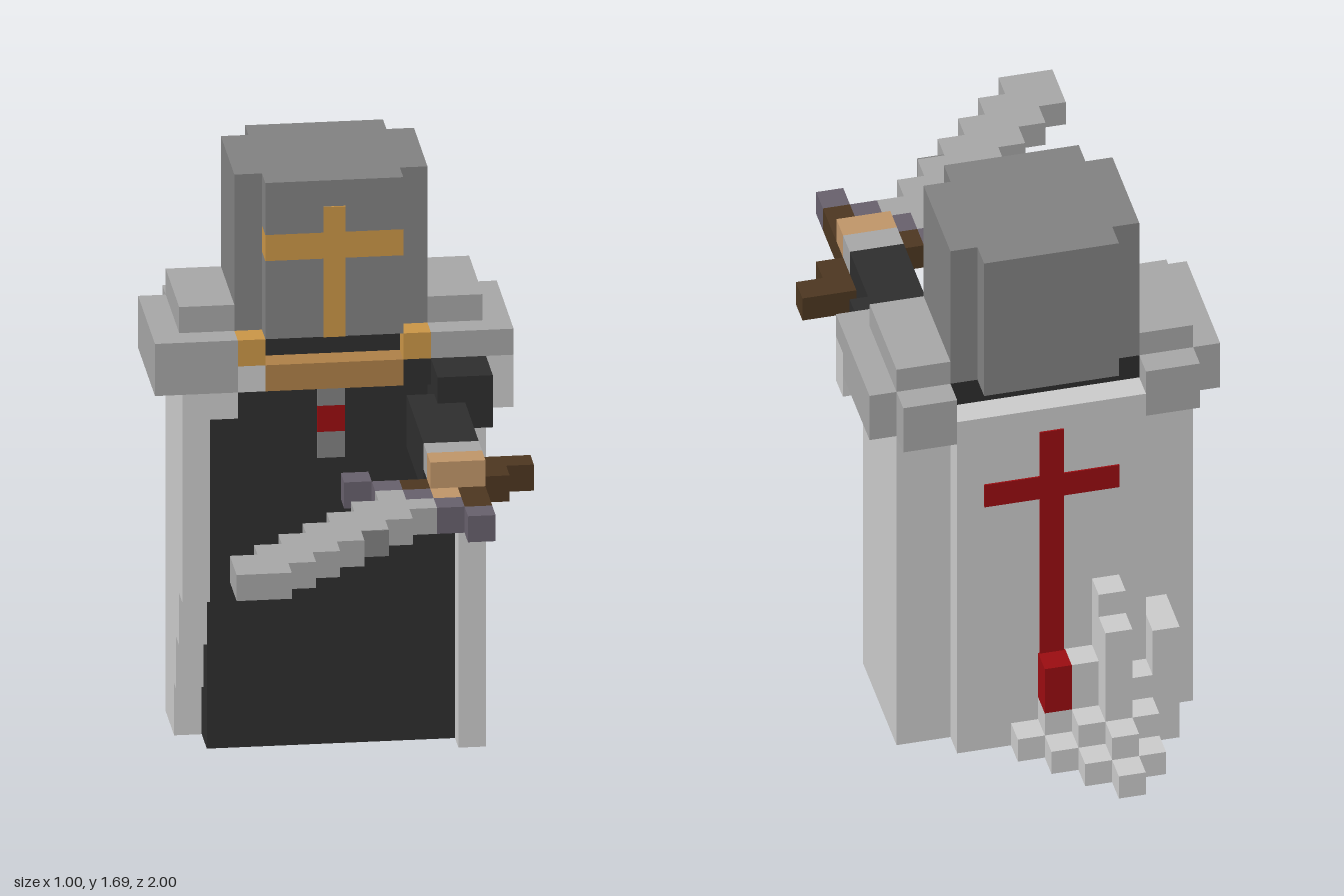
import * as THREE from 'three';

const U = 2 / 26; // edge of one block

const mat = (name, color) => {
  const m = new THREE.MeshStandardMaterial({ color });
  m.name = name;
  return m;
};

export function createModel() {
  const M = {
    steel: mat('helmet steel', 0x808080),
    grey: mat('plate grey', 0xa5a5a5),
    white: mat('cloak white', 0xc9c9c9),
    black: mat('cloth black', 0x2d2d2d),
    gold: mat('gold', 0xc89446),
    bronze: mat('dark gold', 0xad7f47),
    skin: mat('skin', 0xbe9468),
    brown: mat('handle brown', 0x4c3620),
    purple: mat('guard purple grey', 0x665f6b),
    red: mat('red', 0x990c10),
  };
  const root = new THREE.Group();
  root.name = 'knight';
  const part = (name) => {
    const g = new THREE.Group();
    g.name = name;
    root.add(g);
    return g;
  };
  // Box between block coordinates, x 0..13, y 0..22, z 0..26
  const box = (g, name, m, x0, x1, y0, y1, z0, z1) => {
    const mesh = new THREE.Mesh(new THREE.BoxGeometry((x1 - x0) * U, (y1 - y0) * U, (z1 - z0) * U), M[m]);
    mesh.position.set(((x0 + x1) / 2 - 6.5) * U, ((y0 + y1) / 2) * U, ((z0 + z1) / 2 - 13) * U);
    mesh.name = name;
    g.add(mesh);
  };
  const T = 0.06; // thickness of painted plates, in blocks

  // Helmet with notched corners
  const helmet = part('helmet');
  box(helmet, 'helmetCore', 'steel', 3, 10, 16, 22, 5, 9);
  box(helmet, 'helmetBack', 'steel', 4, 9, 16, 22, 4, 5);
  box(helmet, 'helmetFrontLower', 'steel', 4, 9, 16, 19, 9, 10);
  box(helmet, 'helmetFrontUpper', 'steel', 4, 9, 20, 22, 9, 10);
  box(helmet, 'crossArm', 'gold', 4, 9, 19, 20, 9, 10);
  box(helmet, 'crossUpright', 'gold', 6.1, 6.9, 16, 21, 10, 10 + T);
  box(helmet, 'visorSlot', 'black', 3, 10, 15, 16, 5, 9);
  for (const x of [3, 9]) box(helmet, 'cheekGuard', 'gold', x, x + 1, 15, 16, 9, 10);
  box(helmet, 'chinGuard', 'bronze', 4, 9, 14, 15, 9, 10);

  // Black tunic with chest emblem
  const tunic = part('tunic');
  box(tunic, 'tunicBody', 'black', 2, 11, 0, 14, 7, 9);
  box(tunic, 'neck', 'black', 3, 10, 14, 15, 5, 9);
  box(tunic, 'sideNeck', 'black', 9, 10, 14, 15, 9, 10);
  box(tunic, 'emblemTop', 'steel', 6, 7, 13, 14, 9, 9 + T);
  box(tunic, 'emblemCentre', 'red', 6, 7, 12, 13, 9, 9 + T);
  box(tunic, 'emblemBottom', 'steel', 6, 7, 11, 12, 9, 9 + T);

  // Cloak around the back and sides
  const cloak = part('cloak');
  box(cloak, 'cloakBack', 'white', 1, 12, 0, 14, 5, 7);
  box(cloak, 'backPanel', 'white', 3, 10, 0, 15, 4, 5);
  box(cloak, 'leftSide', 'white', 11, 12, 0, 14, 7, 10);
  [[0, 2, 7.5], [2, 4, 8], [4, 6, 9], [6, 14, 10]].forEach(([a, b, z]) =>
    box(cloak, 'rightSide', 'white', 1, 2, a, b, 7, z));
  box(cloak, 'rightCollar', 'white', 2, 3, 13, 14, 9, 10);
  box(cloak, 'rightCollar', 'white', 3, 4, 14, 15, 9, 10);
  box(cloak, 'leftDrape', 'white', 12, 13, 13, 15, 9, 10);
  box(cloak, 'backCrossUpright', 'red', 6.05, 6.95, 2, 14, 4 - T, 4);
  box(cloak, 'backCrossArm', 'red', 4, 9, 11, 12, 4 - T, 4);

  // Trailing hem: rows of [x, height] from the panel outward
  const hem = [
    [3, [[2, 5], [3, 3], [4, 7], [5, 4], [6, 2], [7, 1]]],
    [2, [[3, 2], [4, 6], [5, 2], [6, 1]]],
    [1, [[3, 1], [4, 2], [5, 1]]],
    [0, [[4, 1]]],
  ];
  for (const [z, cols] of hem)
    for (const [x, h] of cols) box(cloak, 'hemFold', 'white', x, x + 1, 0, h, z, z + 1);
  box(cloak, 'hemRedFold', 'red', 6, 7, 2, 4, 3, 4);
  box(cloak, 'hemLink', 'white', 2, 3, 0, 5, 4, 5);

  // Shoulder plates
  const shoulders = part('shoulders');
  for (const s of [0, 1]) {
    const b = (x0, x1, ...r) =>
      box(shoulders, s ? 'leftShoulder' : 'rightShoulder', 'grey', s ? 13 - x1 : x0, s ? 13 - x0 : x1, ...r);
    b(1, 3, 14, 17, 5, 9);
    b(0, 1, 14, 16, 5, 9);
    b(1, 3, 14, 16, 4, 5);
    b(0, 3, s ? 15 : 14, 16, 9, 10);
  }

  // Raised arm
  const arm = part('leftArm');
  box(arm, 'upperArm', 'black', 10, 12, 13, 15, 9, 12);
  box(arm, 'forearmUpper', 'black', 9, 11, 13, 14, 12, 16);
  box(arm, 'forearmInner', 'black', 9, 10, 13, 14, 11, 12);
  box(arm, 'forearmLower', 'black', 9, 11, 12, 13, 11, 16);
  box(arm, 'cuff', 'grey', 9, 11, 13, 14, 16, 17);
  box(arm, 'hand', 'skin', 9, 11, 13, 14, 17, 18);
  box(arm, 'fingers', 'skin', 9, 10, 12, 13, 18, 19);

  // Sword held flat, pointing forward and to the right
  const sword = part('sword');
  const cell = (name, m, x, z, w = 1) => box(sword, name, m, x, x + w, 12, 13, z, z + 1);
  cell('pommel', 'brown', 11, 15, 2);
  cell('handle', 'brown', 10, 16, 2);
  cell('handle', 'brown', 8, 17, 3);
  cell('handle', 'brown', 10, 18);
  cell('handle', 'brown', 10, 19);
  for (let i = 0; i < 5; i++) cell('guard', 'purple', 6 + i, 16 + i);
  cell('bladeRoot', 'grey', 7, 18);
  for (let i = 0; i < 6; i++) cell('blade', 'grey', 6 - i, 19 + i, 3);
  cell('bladeTip', 'grey', 1, 25, 2);
  box(sword, 'bladeMark', 'steel', 6, 7, 12, 13, 22, 22 + T);

  return root;
}
